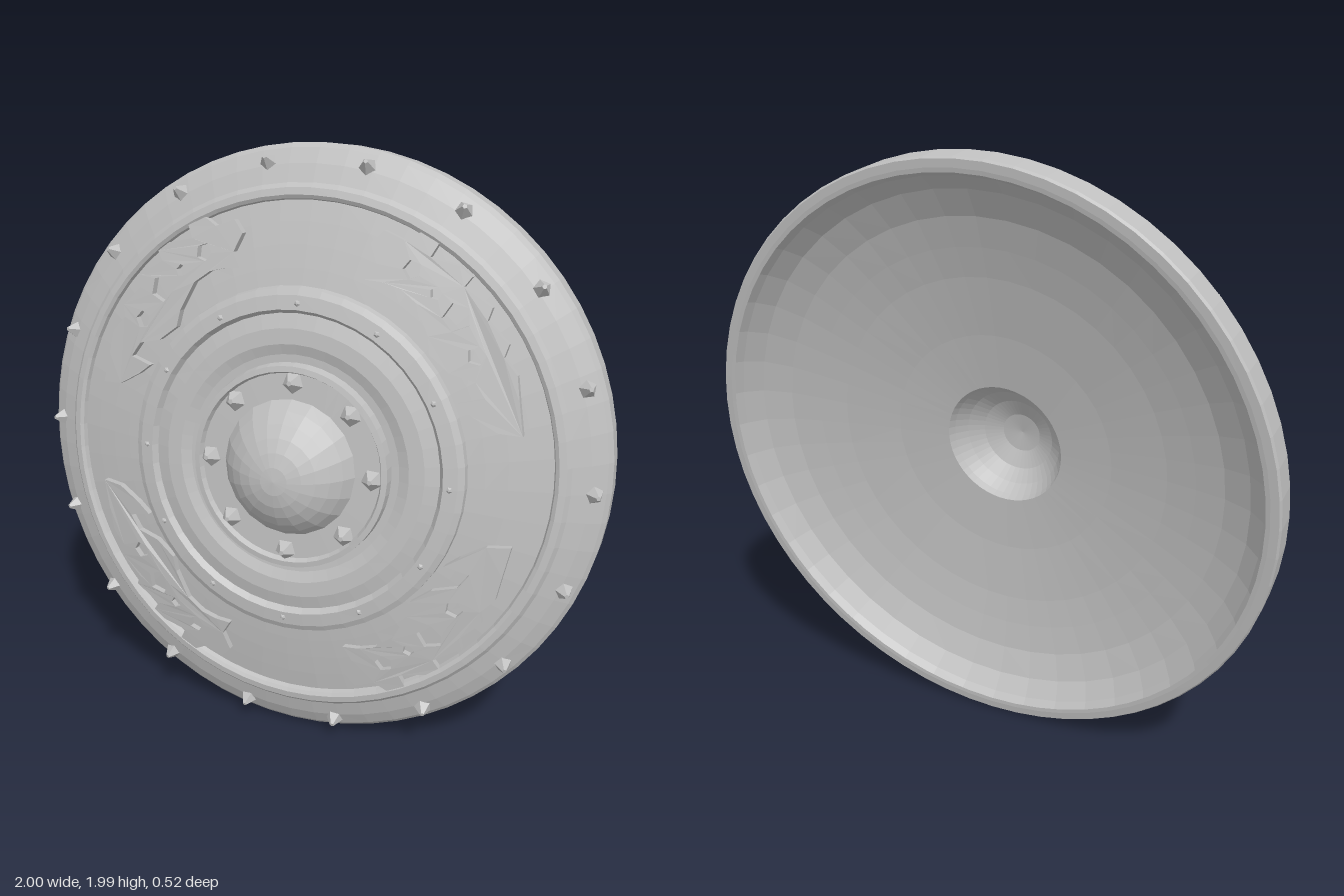
import * as THREE from 'three';

const TILT = 0.127; // the shield leans back

// Height of the domed field above the back plane at radius r
const field = (r) => 0.285 - 0.175 * r * r;
// The raised middle sags slightly downwards, more with depth
const sag = (depth) => 0.12 * Math.max(0, depth - 0.1);
// The shield is bent a little, so its top and bottom come forward
const bend = (y) => -0.025 * (1 - y * y);
const v2 = (p) => new THREE.Vector2(p[0], p[1]);

// Turned part about the z axis, from [radius, depth] points
function turned(name, points, material, segments = 48) {
  const geometry = new THREE.LatheGeometry(points.map(v2), segments);
  geometry.rotateX(Math.PI / 2);
  const pos = geometry.attributes.position;
  for (let i = 0; i < pos.count; i++) {
    const y = pos.getY(i);
    const z = pos.getZ(i);
    pos.setY(i, y - sag(z));
    pos.setZ(i, z + bend(y));
  }
  geometry.computeVertexNormals();
  const mesh = new THREE.Mesh(geometry, material);
  mesh.name = name;
  return mesh;
}

// Ring of faceted studs; slope is the fall of the surface towards the edge
function studRing(name, count, radius, depth, size, height, slope, material) {
  const ring = new THREE.Group();
  ring.name = name;
  const geometry = new THREE.CylinderGeometry(size * 0.2, size, height, 5);
  const up = new THREE.Vector3(0, 1, 0);
  for (let i = 0; i < count; i++) {
    const a = (i / count) * Math.PI * 2;
    const stud = new THREE.Mesh(geometry, material);
    stud.name = 'stud';
    const y = radius * Math.sin(a);
    stud.position.set(radius * Math.cos(a), y - sag(depth), depth + bend(y));
    const normal = new THREE.Vector3(slope * Math.cos(a), slope * Math.sin(a), 1).normalize();
    stud.quaternion.setFromUnitVectors(up, normal);
    ring.add(stud);
  }
  return ring;
}

// Outline of one leaf-shaped ornament and its holes [x, y, radius]
const LEAF = [
  [0.21, 0.6], [0.24, 0.65], [0.215, 0.71], [0.25, 0.75], [0.315, 0.725], [0.36, 0.75],
  [0.42, 0.72], [0.4, 0.68], [0.49, 0.66], [0.53, 0.63], [0.51, 0.6], [0.6, 0.545],
  [0.59, 0.505], [0.66, 0.44], [0.65, 0.4], [0.695, 0.35], [0.71, 0.27], [0.73, 0.167],
  [0.655, 0.172], [0.575, 0.217], [0.53, 0.252], [0.61, 0.272], [0.575, 0.322],
  [0.495, 0.342], [0.43, 0.392], [0.42, 0.447], [0.375, 0.542], [0.32, 0.582], [0.265, 0.597],
];
const HOLES = [[0.35, 0.64, 0.03], [0.5, 0.51, 0.045], [0.57, 0.4, 0.03], [0.43, 0.575, 0.02]];

function leaf(sx, sy, material) {
  const drop = sy < 0 ? 0.025 : 0;
  const place = (x, y) => new THREE.Vector2(x * sx, y * sy - drop);
  const shape = new THREE.Shape(LEAF.map(([x, y]) => place(x, y)));
  for (const [x, y, r] of HOLES) {
    const corners = [];
    for (let i = 0; i < 5; i++) {
      const a = (i / 5) * Math.PI * 2 + x * 9;
      corners.push(place(x + r * Math.cos(a), y + r * Math.sin(a)));
    }
    shape.holes.push(new THREE.Path(corners));
  }
  const geometry = new THREE.ExtrudeGeometry(shape, { depth: 0.035, bevelEnabled: false });
  // Bend the plate over the dome
  const pos = geometry.attributes.position;
  for (let i = 0; i < pos.count; i++) {
    const y = pos.getY(i);
    pos.setZ(i, pos.getZ(i) - 0.008 + field(Math.hypot(pos.getX(i), y)) + bend(y));
  }
  geometry.computeVertexNormals();
  const mesh = new THREE.Mesh(geometry, material);
  mesh.name = 'leafOrnament';
  return mesh;
}

export function createModel() {
  const metal = new THREE.MeshStandardMaterial({ color: 0xbfbfbf, flatShading: true });
  metal.name = 'grey metal';

  const shield = new THREE.Group();
  shield.name = 'shield';

  // Hollow back with the cavity behind the boss
  shield.add(turned('hollowBack', [
    [0, 0.375], [0.07, 0.366], [0.13, 0.338], [0.175, 0.298], [0.203, 0.255], [0.213, 0.229],
    [0.4, 0.21], [0.6, 0.177], [0.7, 0.153], [0.8, 0.125], [0.89, 0.08], [0.94, 0.03], [0.958, 0.002],
  ], metal));

  // Outer rim with a raised inner bead
  shield.add(turned('rim', [
    [0.954, 0.002], [0.968, 0], [0.994, 0], [1, 0.008], [1, 0.095], [0.986, 0.111],
    [0.94, 0.14], [0.885, 0.163], [0.872, 0.178], [0.85, 0.184], [0.838, 0.178], [0.832, 0.162],
  ], metal, 64));

  // Domed field
  shield.add(turned('domedField',
    [0.835, 0.77, 0.7, 0.63, 0.57].map((r) => [r, field(r)]), metal));

  // Raised middle ring and the rounded swell inside it
  shield.add(turned('middleRing', [
    [0.578, 0.223], [0.575, 0.25], [0.555, 0.261], [0.51, 0.269], [0.496, 0.25],
    [0.45, 0.264], [0.4, 0.266], [0.365, 0.255], [0.338, 0.254],
  ], metal));

  // Central plate with a thin edge
  shield.add(turned('centralPlate', [
    [0.34, 0.25], [0.336, 0.288], [0.318, 0.291], [0.31, 0.274], [0.22, 0.278],
  ], metal));

  // Central boss as a spherical cap
  const cap = [];
  const R = 0.26;
  const edge = Math.asin(0.227 / R);
  for (let i = 0; i <= 6; i++) {
    const a = edge * (1 - i / 6);
    cap.push([R * Math.sin(a), 0.412 - R + R * Math.cos(a)]);
  }
  shield.add(turned('boss', cap, metal, 20));

  // Studs on the rim, middle ring and central plate
  shield.add(studRing('rimStuds', 18, 0.957, 0.141, 0.038, 0.05, 0.5, metal));
  shield.add(studRing('ringStuds', 12, 0.53, 0.264, 0.02, 0.016, 0.15, metal));
  shield.add(studRing('plateStuds', 8, 0.283, 0.288, 0.044, 0.045, 0.05, metal));

  // Four mirrored leaf ornaments
  for (const sx of [1, -1]) for (const sy of [1, -1]) shield.add(leaf(sx, sy, metal));

  shield.rotation.x = -TILT;
  shield.position.set(0, 0.992, -0.128);

  const model = new THREE.Group();
  model.name = 'roundShield';
  model.add(shield);
  return model;
}
